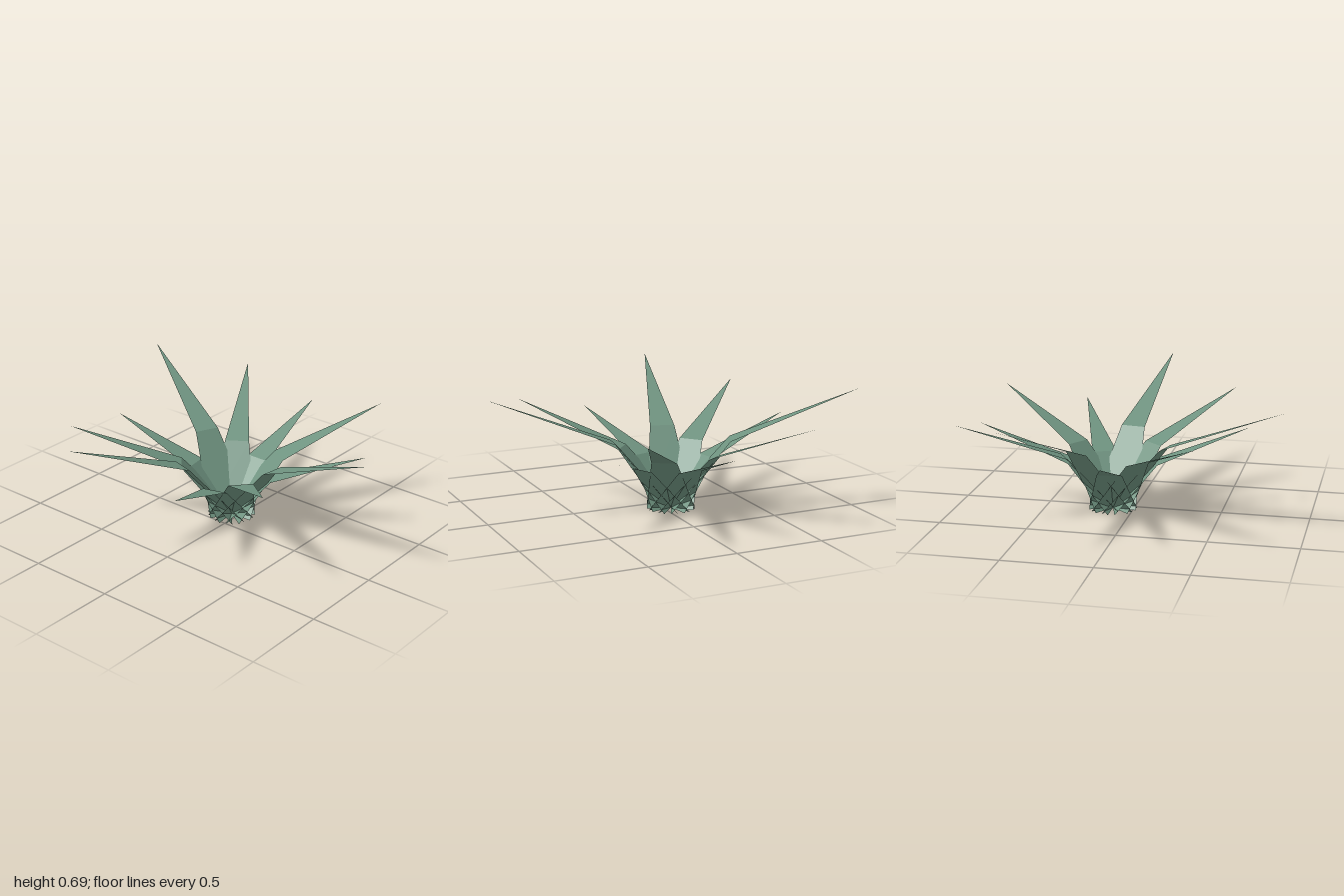
import * as THREE from 'three';

// One flat leaf pointing along +x: broad base through the axis, a fold, then a long spike
function leafGeometry(length, height) {
  const base = 0.137, fold = 0.071;
  const foldR = length * 0.315, foldY = height * 0.58;
  const geometry = new THREE.BufferGeometry();
  geometry.setAttribute('position', new THREE.Float32BufferAttribute([
    0, 0, -base,
    0, 0, base,
    foldR, foldY, -fold,
    foldR, foldY, fold,
    length, height, 0,
  ], 3));
  geometry.setIndex([0, 1, 3, 0, 3, 2, 2, 3, 4]);
  const flat = geometry.toNonIndexed();
  flat.computeVertexNormals();
  return flat;
}

export function createModel() {
  const group = new THREE.Group();
  group.name = 'spikyPlant';

  const leafGreen = new THREE.MeshStandardMaterial({
    color: 0x6f9380, side: THREE.DoubleSide, flatShading: true,
  });
  leafGreen.name = 'leafGreen';

  // Three leaf sizes, each reaching out and up
  const sizes = {
    small: leafGeometry(0.778, 0.46),
    medium: leafGeometry(0.912, 0.575),
    large: leafGeometry(1.048, 0.69),
  };
  const order = ['small', 'medium', 'small', 'large', 'medium', 'small',
    'large', 'medium', 'small', 'large', 'medium'];

  // Ring of leaves, evenly turned from +x towards +z
  const rosette = new THREE.Group();
  rosette.name = 'rosette';
  rosette.position.set(0.118, 0, -0.045);
  order.forEach((size, i) => {
    const leaf = new THREE.Mesh(sizes[size], leafGreen);
    leaf.name = `${size}Leaf${i + 1}`;
    leaf.rotation.y = -i * Math.PI * 2 / order.length;
    rosette.add(leaf);
  });
  group.add(rosette);
  return group;
}
